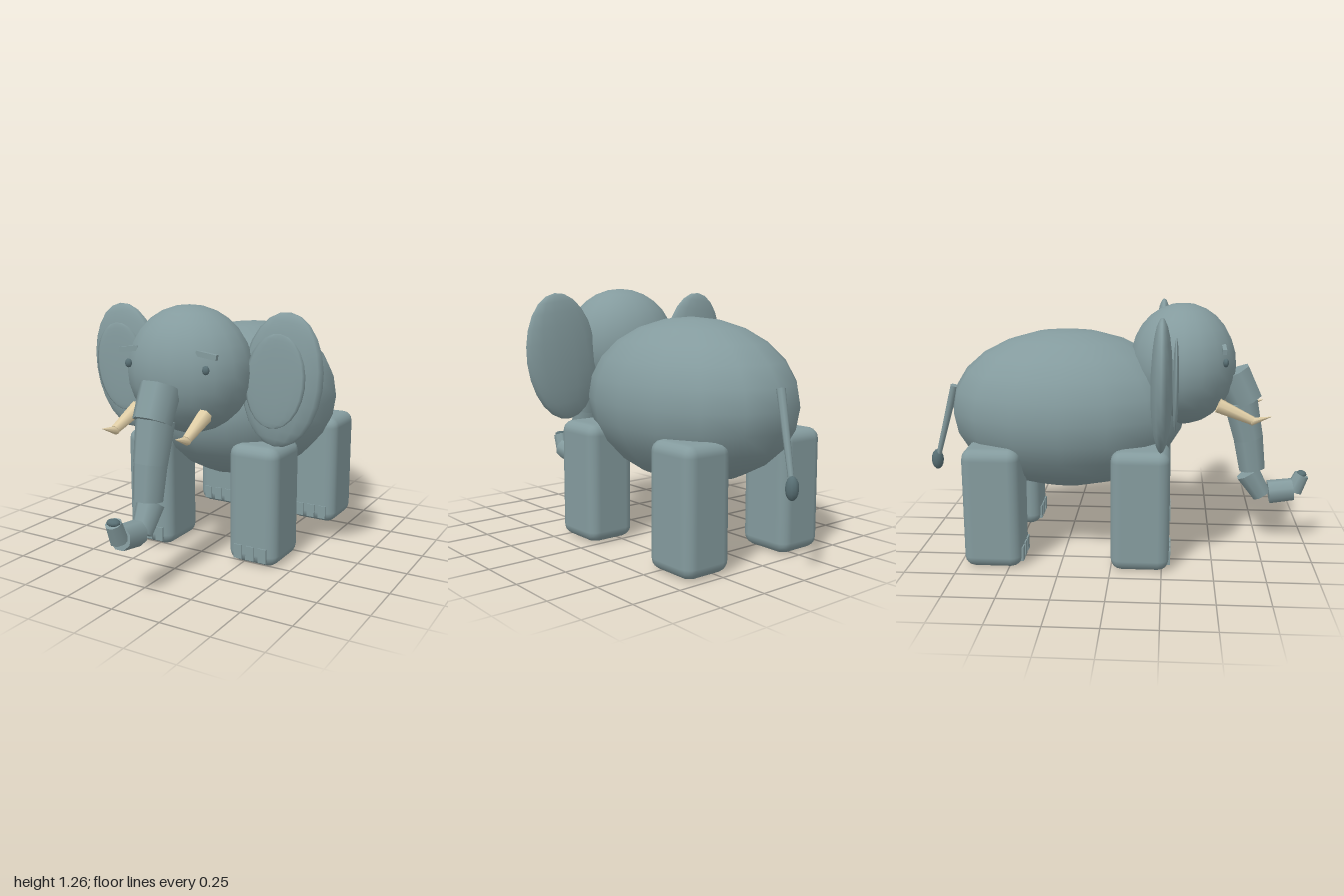
import * as THREE from 'three';
import { RoundedBoxGeometry } from 'three/addons/geometries/RoundedBoxGeometry.js';

export function createModel() {
  const model = new THREE.Group();
  model.name = 'elephant';
  const skin = new THREE.MeshStandardMaterial({ color: 0x849b9e });
  const dark = new THREE.MeshStandardMaterial({ color: 0x586f74 });
  const ivory = new THREE.MeshStandardMaterial({ color: 0xe2d0a8 });
  skin.name = 'skin';
  dark.name = 'darkSkin';
  ivory.name = 'ivory';

  const add = (name, geometry, material, x, y, z) => {
    const mesh = new THREE.Mesh(geometry, material);
    mesh.name = name;
    mesh.position.set(x, y, z);
    model.add(mesh);
    return mesh;
  };
  const ellipsoid = (name, material, [x, y, z], [rx, ry, rz], w = 16, h = 12) =>
    add(name, new THREE.SphereGeometry(1, w, h).scale(rx, ry, rz), material, x, y, z);

  // Tapered cylinder running from point a to point b
  const taper = (name, material, a, b, ra, rb, sides = 8) => {
    const from = new THREE.Vector3(...a);
    const to = new THREE.Vector3(...b);
    const dir = to.clone().sub(from);
    const mid = from.clone().add(to).multiplyScalar(0.5);
    const geometry = new THREE.CylinderGeometry(rb, ra, dir.length(), sides);
    const mesh = add(name, geometry, material, mid.x, mid.y, mid.z);
    mesh.quaternion.setFromUnitVectors(new THREE.Vector3(0, 1, 0), dir.normalize());
    return mesh;
  };

  // Body and head
  ellipsoid('body', skin, [0, 0.725, -0.245], [0.45, 0.405, 0.605], 16, 12);
  ellipsoid('head', skin, [0, 0.96, 0.34], [0.312, 0.305, 0.27], 18, 14);

  for (const s of [1, -1]) {
    const side = s > 0 ? 'left' : 'right';

    // Ears: flattened ellipsoids, tops leaning outwards
    const ear = ellipsoid(side + 'Ear', skin, [s * 0.435, 0.925, 0.24], [0.206, 0.32, 0.052], 14, 12);
    const inner = ellipsoid(side + 'InnerEar', skin, [s * 0.43, 0.93, 0.305], [0.152, 0.222, 0.014], 14, 12);
    ear.rotation.z = inner.rotation.z = -s * 0.13;

    // Eyes and brows
    ellipsoid(side + 'Eye', dark, [s * 0.21, 1, 0.545], [0.019, 0.021, 0.014], 8, 6);
    add(side + 'Brow', new THREE.BoxGeometry(0.105, 0.025, 0.02), skin, s * 0.21, 1.066, 0.535)
      .rotation.z = -s * 0.13;

    // Tusks: thick base, then a tip curling up
    taper(side + 'TuskBase', ivory, [s * 0.184, 0.785, 0.515], [s * 0.193, 0.712, 0.685], 0.037, 0.022, 7);
    taper(side + 'TuskTip', ivory, [s * 0.193, 0.707, 0.675], [s * 0.195, 0.735, 0.775], 0.021, 0.001, 7);

    // Legs with three toenails on the front face
    for (const [end, z] of [['Front', 0.143], ['Back', -0.58]]) {
      add(side + end + 'Leg', new RoundedBoxGeometry(0.265, 0.6, 0.287, 2, 0.055), skin, s * 0.3, 0.3, z);
      for (const dx of [-0.067, 0, 0.067]) {
        add(side + end + 'Toe', new THREE.BoxGeometry(0.045, 0.072, 0.03), skin,
          s * 0.3 + dx, 0.063, z + 0.135);
      }
    }
  }

  // Trunk: separate sections [z0, y0, z1, y1, r0, r1]
  const sections = [
    [0.59, 0.915, 0.665, 0.765, 0.098, 0.092],
    [0.638, 0.77, 0.685, 0.575, 0.092, 0.08],
    [0.682, 0.59, 0.71, 0.41, 0.08, 0.07],
    [0.69, 0.39, 0.765, 0.27, 0.066, 0.05],
    [0.8, 0.285, 0.925, 0.302, 0.061, 0.058],
    [0.93, 0.295, 0.968, 0.383, 0.044, 0.038],
  ];
  for (const [z0, y0, z1, y1, r0, r1] of sections) {
    taper('trunkSection', skin, [0, y0, z0], [0, y1, z1], r0, r1).rotateY(Math.PI / 8);
  }
  ellipsoid('trunkTip', dark, [0, 0.386, 0.966], [0.034, 0.018, 0.026], 10, 8);

  // Tail and tuft
  taper('tail', skin, [0, 0.83, -0.84], [0.05, 0.43, -0.96], 0.021, 0.013);
  ellipsoid('tailTuft', dark, [0.054, 0.413, -0.966], [0.03, 0.055, 0.032], 10, 8);

  return model;
}
